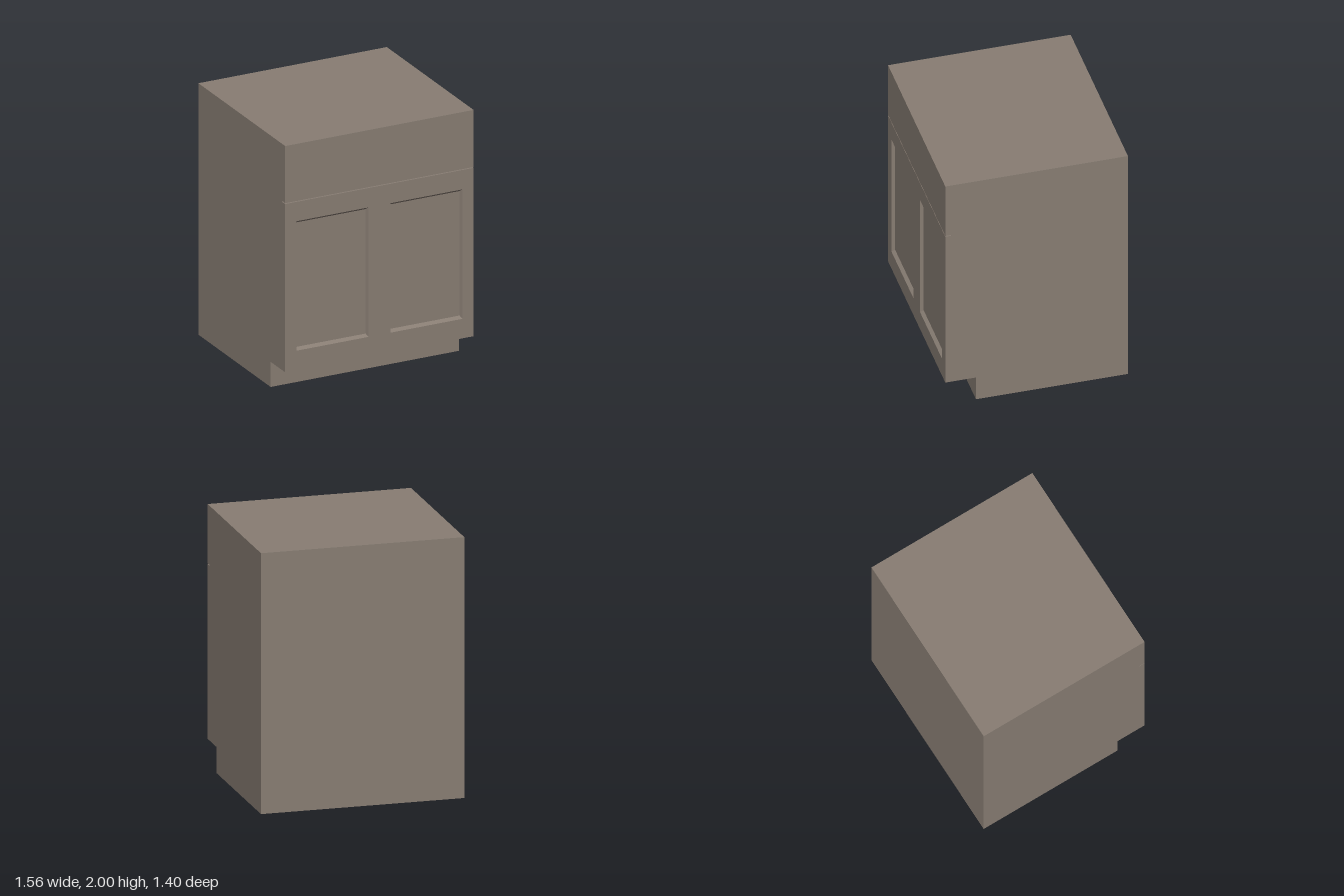
import * as THREE from 'three';

const W = 1.564, FRONT = 0.7, BODY_FRONT = 0.65, TOE = 0.2;
const GAP_LOW = 1.539, GAP_HIGH = 1.546;
const RECESS = 0.025, BEVEL_X = 0.012, BEVEL_Y = 0.02;
const PANEL = { x: 0.39, y: 0.87, w: 0.6, h: 1.03 };

const material = new THREE.MeshStandardMaterial({ color: 0x887d73, flatShading: true });

function add(parent, name, geometry) {
  const mesh = new THREE.Mesh(geometry, material);
  mesh.name = name;
  parent.add(mesh);
  return mesh;
}

function slab(y0, y1, z0, z1) {
  return new THREE.BoxGeometry(W, y1 - y0, z1 - z0).translate(0, (y0 + y1) / 2, (z0 + z1) / 2);
}

// Frame with two openings whose walls slope inward towards the back
function doorFrameGeometry() {
  const rect = (path, x, y, w, h) => {
    path.moveTo(x - w / 2, y - h / 2);
    path.lineTo(x + w / 2, y - h / 2);
    path.lineTo(x + w / 2, y + h / 2);
    path.lineTo(x - w / 2, y + h / 2);
    path.closePath();
    return path;
  };
  const shape = rect(new THREE.Shape(), 0, (TOE + GAP_LOW) / 2, W, GAP_LOW - TOE);
  for (const s of [-1, 1]) {
    shape.holes.push(rect(new THREE.Path(), s * PANEL.x, PANEL.y, PANEL.w, PANEL.h));
  }
  const geometry = new THREE.ExtrudeGeometry(shape, { depth: RECESS, bevelEnabled: false });
  const p = geometry.attributes.position;
  for (let i = 0; i < p.count; i++) {
    const x = p.getX(i), y = p.getY(i);
    if (p.getZ(i) > RECESS / 2 || Math.abs(x) > W / 2 - 0.01) continue;
    const cx = Math.sign(x) * PANEL.x;
    p.setX(i, x - Math.sign(x - cx) * BEVEL_X);
    p.setY(i, y - Math.sign(y - PANEL.y) * BEVEL_Y);
  }
  geometry.computeVertexNormals();
  return geometry.translate(0, 0, FRONT - RECESS);
}

export function createModel() {
  const cabinet = new THREE.Group();
  cabinet.name = 'baseCabinet';

  // Carcass: side profile with a toe kick, extruded across the width
  const profile = new THREE.Shape([
    [-0.7, 0], [0.465, 0], [0.465, TOE], [BODY_FRONT, TOE], [BODY_FRONT, 2], [-0.7, 2],
  ].map(([z, y]) => new THREE.Vector2(-z, y)));
  const carcass = new THREE.ExtrudeGeometry(profile, { depth: W, bevelEnabled: false });
  carcass.translate(0, 0, -W / 2).rotateY(Math.PI / 2);
  add(cabinet, 'carcass', carcass);

  // Plain drawer front above a thin shadow gap
  add(cabinet, 'drawerFront', slab(GAP_HIGH, 2, BODY_FRONT, FRONT));

  // Door front: recessed backing and bevelled frame
  const door = new THREE.Group();
  door.name = 'doorFront';
  add(door, 'doorPanels', slab(TOE, GAP_LOW, BODY_FRONT, FRONT - RECESS));
  add(door, 'doorFrame', doorFrameGeometry());
  cabinet.add(door);

  return cabinet;
}
